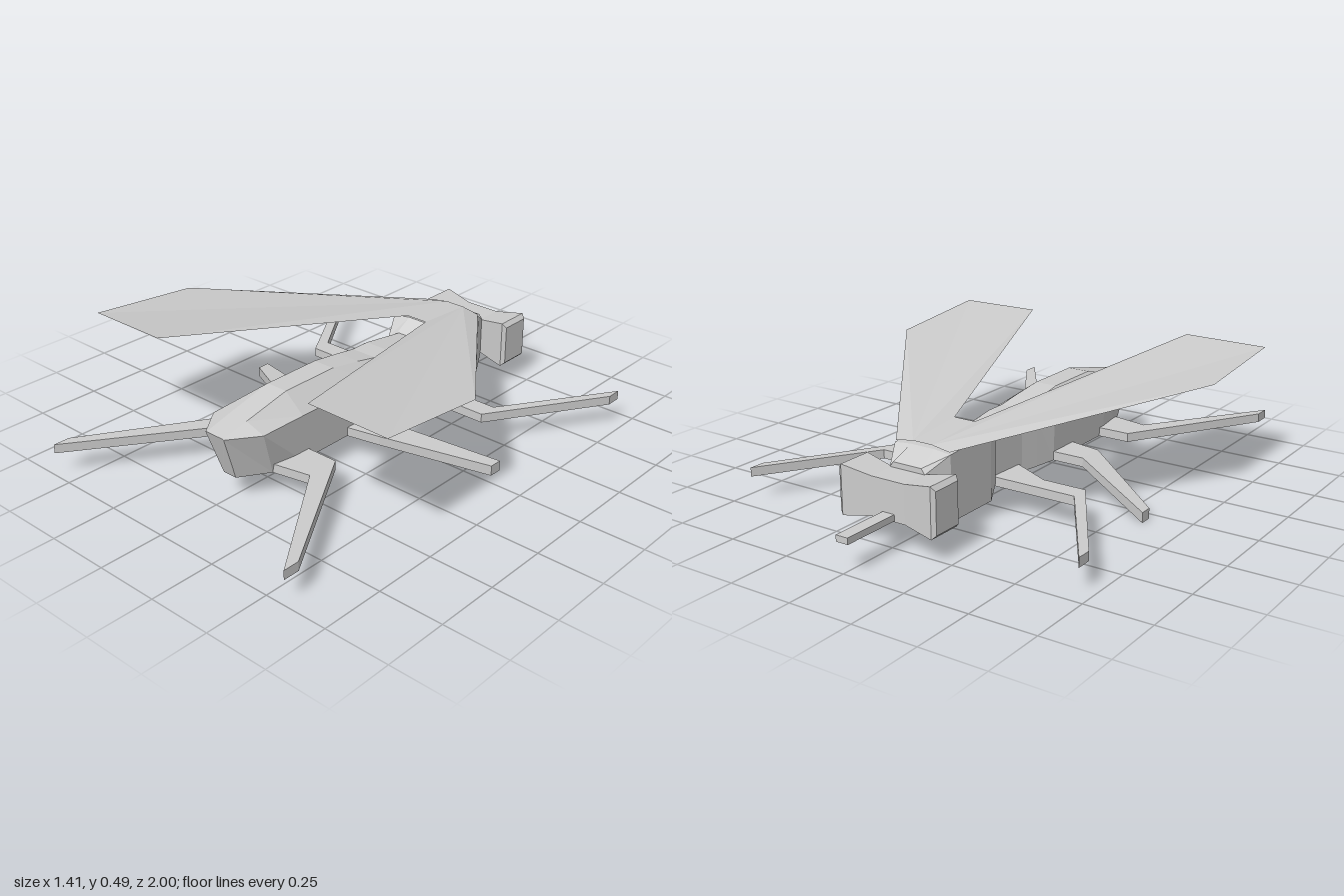
import * as THREE from 'three';

const material = new THREE.MeshStandardMaterial({ color: 0xcccccc, flatShading: true });
const thin = new THREE.MeshStandardMaterial({ color: 0xcccccc, flatShading: true, side: THREE.DoubleSide });

function meshFrom(name, triangles, mat = material) {
  const geometry = new THREE.BufferGeometry();
  geometry.setAttribute('position', new THREE.Float32BufferAttribute(triangles.flat(), 3));
  geometry.computeVertexNormals();
  const mesh = new THREE.Mesh(geometry, mat);
  mesh.name = name;
  return mesh;
}

// Joins rings of points (counter-clockwise seen from the far end) and caps both ends
function loft(name, rings) {
  const t = [];
  const n = rings[0].length;
  for (let i = 0; i < rings.length - 1; i++) {
    for (let k = 0; k < n; k++) {
      const a = rings[i][k], b = rings[i][(k + 1) % n];
      const c = rings[i + 1][(k + 1) % n], d = rings[i + 1][k];
      t.push(a, b, c, a, c, d);
    }
  }
  const first = rings[0], last = rings[rings.length - 1];
  for (let k = 1; k < n - 1; k++) {
    t.push(first[0], first[k + 1], first[k], last[0], last[k], last[k + 1]);
  }
  return meshFrom(name, t);
}

// Rectangular ring across x: [x, back z, front z, bottom y, top y]
const sideRing = ([x, zb, zf, y0, y1]) => [[x, y0, zb], [x, y1, zb], [x, y1, zf], [x, y0, zf]];

// Body ring across z with a narrow flat top, wide waist and flat base
const bodyRing = ([z, topW, topY, midW, midY, baseW, baseY, baseZ = z]) => [
  [-baseW, baseY, baseZ], [baseW, baseY, baseZ], [midW, midY, z],
  [topW, topY, z], [-topW, topY, z], [-midW, midY, z],
];

export function createModel() {
  const model = new THREE.Group();
  model.name = 'insect';

  // Body
  model.add(loft('abdomen', [
    [-0.30, 0.05, 0.28, 0.08, 0.26, 0.08, 0.10],
    [-0.10, 0.055, 0.305, 0.09, 0.27, 0.09, 0.09],
    [-0.02, 0.055, 0.305, 0.105, 0.27, 0.105, 0.09],
    [0.07, 0.05, 0.321, 0.125, 0.27, 0.12, 0.09],
    [0.20, 0.045, 0.34, 0.125, 0.27, 0.12, 0.09],
    [0.44, 0.045, 0.34, 0.125, 0.27, 0.12, 0.09],
    [0.63, 0.043, 0.297, 0.125, 0.27, 0.10, 0.09, 0.57],
    [0.74, 0.04, 0.272, 0.045, 0.27, 0.03, 0.09, 0.68],
  ].map(bodyRing)));

  model.add(loft('thorax', [
    [-0.66, 0.06, 0.27, 0.075, 0.25, 0.075, 0.10],
    [-0.575, 0.05, 0.312, 0.12, 0.305, 0.12, 0.06],
    [-0.34, 0.045, 0.332, 0.12, 0.32, 0.12, 0.06],
    [-0.27, 0.06, 0.27, 0.09, 0.26, 0.09, 0.10],
  ].map(bodyRing)));

  // Head with flared eye ends
  model.add(loft('head', [
    [-0.205, -0.77, -0.65, 0.10, 0.255],
    [-0.19, -0.78, -0.64, 0.085, 0.272],
    [-0.07, -0.765, -0.655, 0.105, 0.25],
    [0.07, -0.765, -0.655, 0.105, 0.25],
    [0.19, -0.78, -0.64, 0.085, 0.272],
    [0.205, -0.77, -0.65, 0.10, 0.255],
  ].map(sideRing)));

  const proboscis = new THREE.Mesh(new THREE.BoxGeometry(0.05, 0.024, 0.26), material);
  proboscis.name = 'proboscis';
  proboscis.position.set(0, 0.12, -0.87);
  model.add(proboscis);

  // Legs: root, knee and tip rings
  const legs = {
    FrontLeg: [[0.05, -0.275, -0.10, 0.09, 0.125], [0.25, -0.275, -0.20, 0.09, 0.125],
      [0.425, -0.275, -0.20, 0.09, 0.125], [0.705, -0.70, -0.64, 0.09, 0.125]],
    MiddleLeg: [[0.05, 0.07, 0.22, 0.09, 0.125], [0.25, 0.07, 0.18, 0.09, 0.125],
      [0.595, -0.09, -0.04, 0, 0.04]],
    RearLeg: [[0.05, 0.41, 0.58, 0.09, 0.125], [0.25, 0.41, 0.54, 0.09, 0.125],
      [0.575, 0.93, 0.995, 0.09, 0.125]],
  };

  // Wing outline, fanned from the root centre
  const wing = [[0.04, 0.325, -0.575], [0.045, 0.342, -0.33], [0.365, 0.492, 0.66],
    [0.70, 0.49, 0.66], [0.70, 0.45, 0.22], [0.115, 0.313, -0.575]];

  for (const [label, sign] of [['left', 1], ['right', -1]]) {
    const side = new THREE.Group();
    side.name = label + 'Side';
    side.scale.x = sign;
    for (const [name, rings] of Object.entries(legs)) {
      side.add(loft(label + name, rings.map(sideRing)));
    }
    const fan = [];
    for (let k = 1; k < wing.length - 1; k++) fan.push(wing[0], wing[k], wing[k + 1]);
    side.add(meshFrom(label + 'Wing', fan, thin));
    model.add(side);
  }

  // Flat strip joining the wing roots
  const [a, b] = wing;
  const mirror = ([x, y, z]) => [-x, y, z];
  model.add(meshFrom('wingBridge', [a, mirror(a), b, mirror(a), mirror(b), b], thin));

  return model;
}
